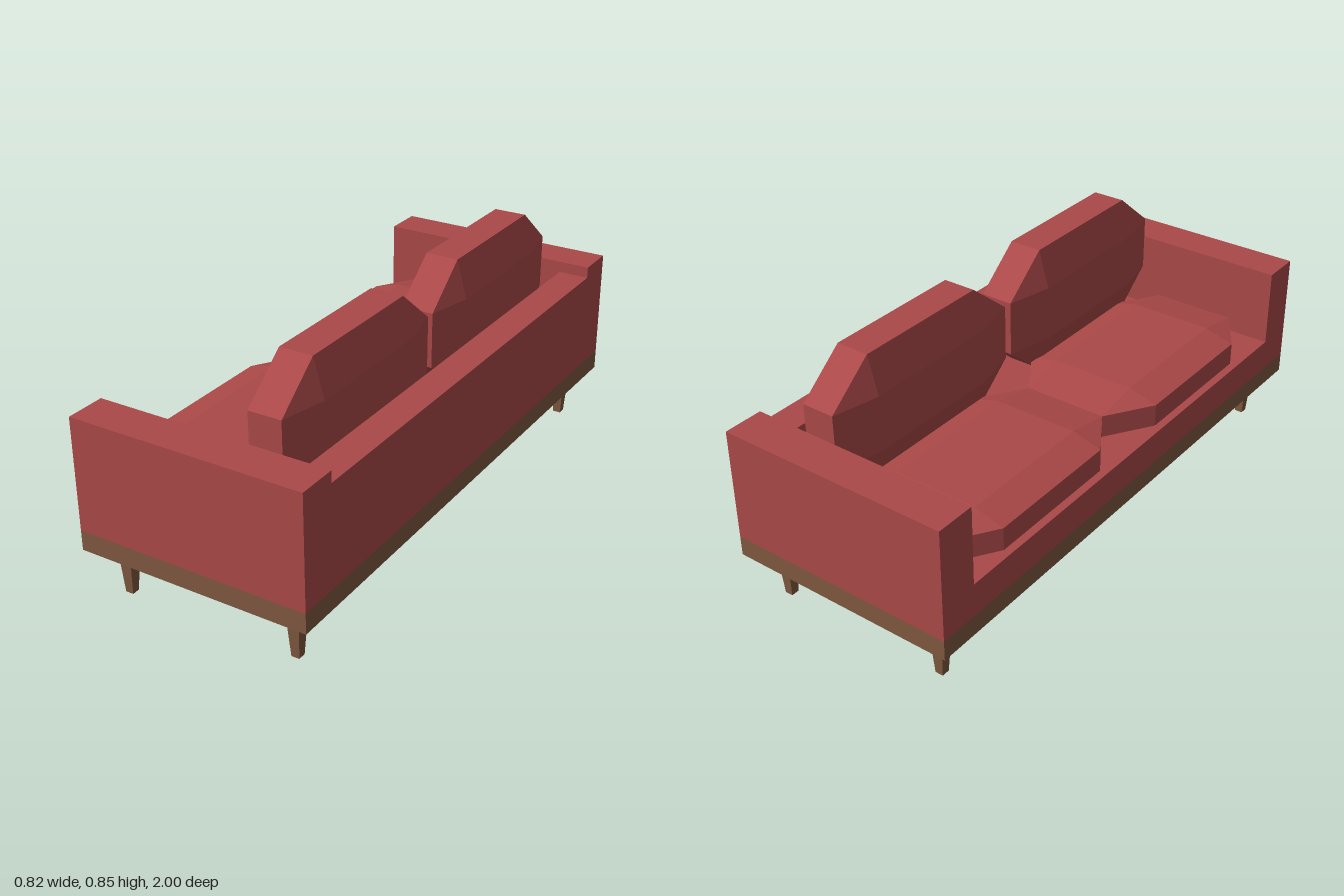
import * as THREE from 'three';
import { ConvexGeometry } from 'three/addons/geometries/ConvexGeometry.js';

const fabric = new THREE.MeshStandardMaterial({ color: 0xaa4848 });
fabric.name = 'red fabric';
const wood = new THREE.MeshStandardMaterial({ color: 0x7e583f });
wood.name = 'brown wood';

function add(parent, name, geometry, material, x, y, z) {
  const mesh = new THREE.Mesh(geometry, material);
  mesh.name = name;
  mesh.position.set(x, y, z);
  parent.add(mesh);
  return mesh;
}

// Box given by its minimum and maximum corners
function block(parent, name, material, [x0, y0, z0], [x1, y1, z1]) {
  const geometry = new THREE.BoxGeometry(x1 - x0, y1 - y0, z1 - z0);
  return add(parent, name, geometry, material, (x0 + x1) / 2, (y0 + y1) / 2, (z0 + z1) / 2);
}

// Box with every edge and corner cut off: half sizes and the cut along each axis
function cushionGeometry(half, cut) {
  const points = [];
  for (let axis = 0; axis < 3; axis++) {
    for (const sx of [-1, 1]) for (const sy of [-1, 1]) for (const sz of [-1, 1]) {
      const p = [sx, sy, sz].map((s, i) => s * (half[i] - (i === axis ? 0 : cut[i])));
      points.push(new THREE.Vector3(...p));
    }
  }
  return new ConvexGeometry(points);
}

export function createModel() {
  const sofa = new THREE.Group();
  sofa.name = 'sofa';

  // Frame: wooden plinth, seat deck, backrest and two arms; the seat opens to -x
  block(sofa, 'plinth', wood, [-0.41, 0.17, -1], [0.41, 0.24, 1]);
  block(sofa, 'seatDeck', fabric, [-0.41, 0.24, -0.86], [0.3, 0.355, 0.86]);
  block(sofa, 'backrest', fabric, [0.3, 0.24, -0.86], [0.41, 0.59, 0.86]);
  block(sofa, 'armBack', fabric, [-0.41, 0.24, -1], [0.41, 0.63, -0.86]);
  block(sofa, 'armFront', fabric, [-0.41, 0.24, 0.86], [0.41, 0.63, 1]);

  // Two seat cushions and two back cushions
  const seatCushion = cushionGeometry([0.255, 0.07, 0.413], [0.105, 0.03, 0.162]);
  const backCushion = cushionGeometry([0.095, 0.23, 0.413], [0.037, 0.133, 0.162]);
  for (const z of [-0.44, 0.387]) add(sofa, 'seatCushion', seatCushion, fabric, -0.133, 0.402, z);
  for (const z of [-0.437, 0.418]) add(sofa, 'backCushion', backCushion, fabric, 0.17, 0.622, z);

  // Four square tapered legs
  const leg = new THREE.CylinderGeometry(0.025 * Math.SQRT2, 0.014 * Math.SQRT2, 0.17, 4, 1)
    .rotateY(Math.PI / 4).toNonIndexed();
  leg.computeVertexNormals();
  for (const x of [-0.31, 0.314]) {
    for (const z of [-0.9, 0.905]) add(sofa, 'leg', leg, wood, x, 0.085, z);
  }
  return sofa;
}
